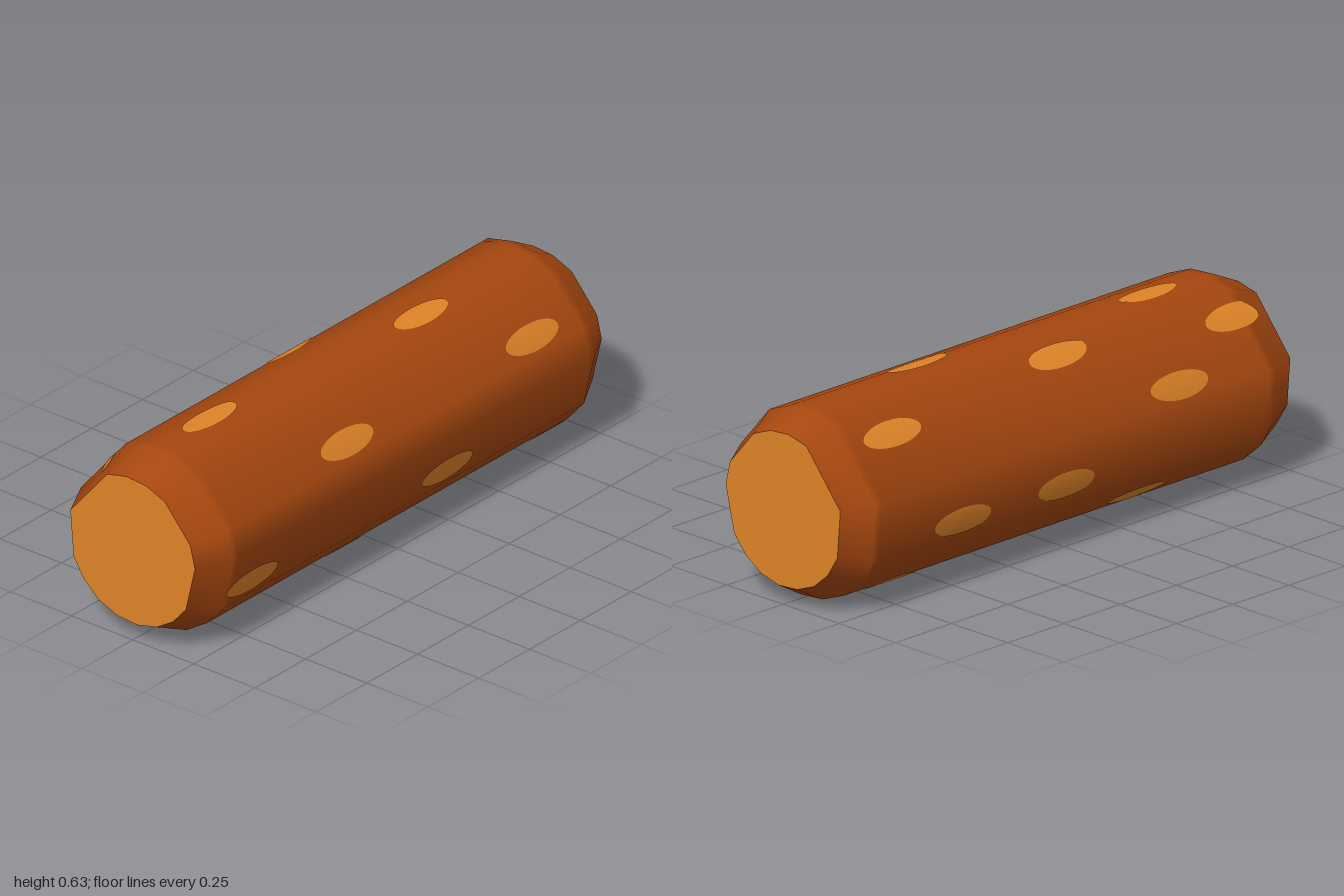
import * as THREE from 'three';

// Irregular log cross-section as [z, y], counter-clockwise from the front
const SECTION = [
  [0.311, 0.343], [0.288, 0.438], [0.161, 0.585], [0.068, 0.622], [-0.029, 0.63],
  [-0.127, 0.607], [-0.311, 0.388], [-0.295, 0.193], [-0.243, 0.11], [-0.168, 0.045],
  [-0.075, 0.009], [0.025, 0.002], [0.12, 0.026], [0.202, 0.078], [0.266, 0.152],
];
const N = SECTION.length;
const CY = 0.316;
const RIM = 0.82;
const RINGS = [[-1, RIM], [-0.88, 1], [-0.85, 1], [0.87, 1], [0.9, 1], [1, RIM]];

const outline = SECTION.map(([z, y]) => new THREE.Vector2(z, y - CY));

// Averaged outward direction at each corner of the section
const cornerNormals = outline.map((p, i) => {
  const edge = (a, b) => {
    const d = b.clone().sub(a).normalize();
    return new THREE.Vector2(d.y, -d.x);
  };
  const prev = outline[(i + N - 1) % N], next = outline[(i + 1) % N];
  return edge(prev, p).add(edge(p, next)).normalize();
});

// Section scale along the length: chamfered at both ends
function scaleAt(x) {
  if (x < -0.88) return THREE.MathUtils.mapLinear(x, -1, -0.88, RIM, 1);
  if (x > 0.9) return THREE.MathUtils.mapLinear(x, 0.9, 1, 1, RIM);
  return 1;
}

// Point and normal on the section in the given direction from its centre
function sectionAt(angle) {
  const dir = new THREE.Vector2(Math.cos(angle), Math.sin(angle));
  for (let i = 0; i < N; i++) {
    const a = outline[i], b = outline[(i + 1) % N];
    const ca = a.cross(dir), cb = dir.cross(b);
    if (ca >= 0 && cb > 0) {
      const t = ca / (ca + cb);
      return {
        point: a.clone().lerp(b, t),
        normal: cornerNormals[i].clone().lerp(cornerNormals[(i + 1) % N], t).normalize(),
      };
    }
  }
  return { point: outline[0].clone(), normal: cornerNormals[0].clone() };
}

function buildGeometry(positions, indices, normals) {
  const g = new THREE.BufferGeometry();
  g.setAttribute('position', new THREE.Float32BufferAttribute(positions, 3));
  g.setIndex(indices);
  if (normals) g.setAttribute('normal', new THREE.Float32BufferAttribute(normals, 3));
  else g.computeVertexNormals();
  return g;
}

// Bark: the section lofted along x
function barkGeometry() {
  const pos = [], idx = [];
  for (const [x, s] of RINGS) for (const p of outline) pos.push(x, CY + p.y * s, p.x * s);
  for (let r = 0; r < RINGS.length - 1; r++) {
    for (let i = 0; i < N; i++) {
      const a = r * N + i, c = r * N + (i + 1) % N;
      idx.push(a, a + N, c, c, a + N, c + N);
    }
  }
  return buildGeometry(pos, idx);
}

// Flat sawn end, side = 1 for +x and -1 for -x
function endGeometry(side) {
  const shape = new THREE.Shape(outline.map((p) => new THREE.Vector2(-side * p.x * RIM, p.y * RIM)));
  const g = new THREE.ShapeGeometry(shape);
  g.rotateY(side * Math.PI / 2);
  g.translate(side, CY, 0);
  return g;
}

// Thin oval patch draped over the bark around the given point
function spotGeometry(x0, y0, z0) {
  const HALF_LENGTH = 0.125, HALF_WIDTH = 0.043, RAD = 8, SEG = 28;
  const angle0 = Math.atan2(y0 - CY, z0);
  const radius = sectionAt(angle0).point.length();
  const pos = [], nor = [], idx = [];
  const add = (u, v) => {
    const x = x0 + u * HALF_LENGTH;
    const { point, normal } = sectionAt(angle0 + v * HALF_WIDTH / radius);
    const s = scaleAt(x);
    pos.push(x, CY + point.y * s + normal.y * 0.003, point.x * s + normal.x * 0.003);
    nor.push(0, normal.y, normal.x);
  };
  add(0, 0);
  for (let r = 1; r <= RAD; r++) {
    for (let k = 0; k < SEG; k++) {
      const t = (k / SEG) * Math.PI * 2;
      add(Math.cos(t) * r / RAD, Math.sin(t) * r / RAD);
    }
  }
  for (let k = 0; k < SEG; k++) {
    const n = (k + 1) % SEG;
    idx.push(0, 1 + k, 1 + n);
    for (let r = 0; r < RAD - 1; r++) {
      const a = 1 + r * SEG + k, b = 1 + r * SEG + n;
      idx.push(a, a + SEG, b, b, a + SEG, b + SEG);
    }
  }
  return buildGeometry(pos, idx, nor);
}

// Spot centres as [x, y, z]
const SPOTS = [
  [-0.25, 0.48, 0.25], [0.66, 0.48, 0.25], [-0.75, 0.21, 0.28], [0.21, 0.21, 0.28],
  [-0.21, 0.065, 0.182], [0.79, 0.065, 0.182],
  [0.35, 0.625, 0.055], [-0.61, 0.628, -0.01], [-0.08, 0.593, -0.14],
  [0.7, 0.54, -0.185], [-0.82, 0.54, -0.183], [-0.48, 0.425, -0.28],
  [0.5, 0.23, -0.3], [0.04, 0.23, -0.3], [-0.36, 0.08, -0.21],
  [0.7, 0.04, -0.155], [0.12, 0.004, 0], [-0.81, 0.02, -0.1],
];

export function createModel() {
  const bark = new THREE.MeshStandardMaterial({ color: 0xa6470f });
  bark.name = 'bark brown';
  const wood = new THREE.MeshStandardMaterial({ color: 0xdf8427 });
  wood.name = 'cut wood orange';

  const group = new THREE.Group();
  group.name = 'log';
  const add = (geometry, material, name, parent = group) => {
    const mesh = new THREE.Mesh(geometry, material);
    mesh.name = name;
    parent.add(mesh);
  };

  add(barkGeometry(), bark, 'bark');
  add(endGeometry(1), wood, 'leftEnd');
  add(endGeometry(-1), wood, 'rightEnd');

  const spots = new THREE.Group();
  spots.name = 'barkSpots';
  group.add(spots);
  SPOTS.forEach((s, i) => add(spotGeometry(...s), wood, `spot${i + 1}`, spots));
  return group;
}
